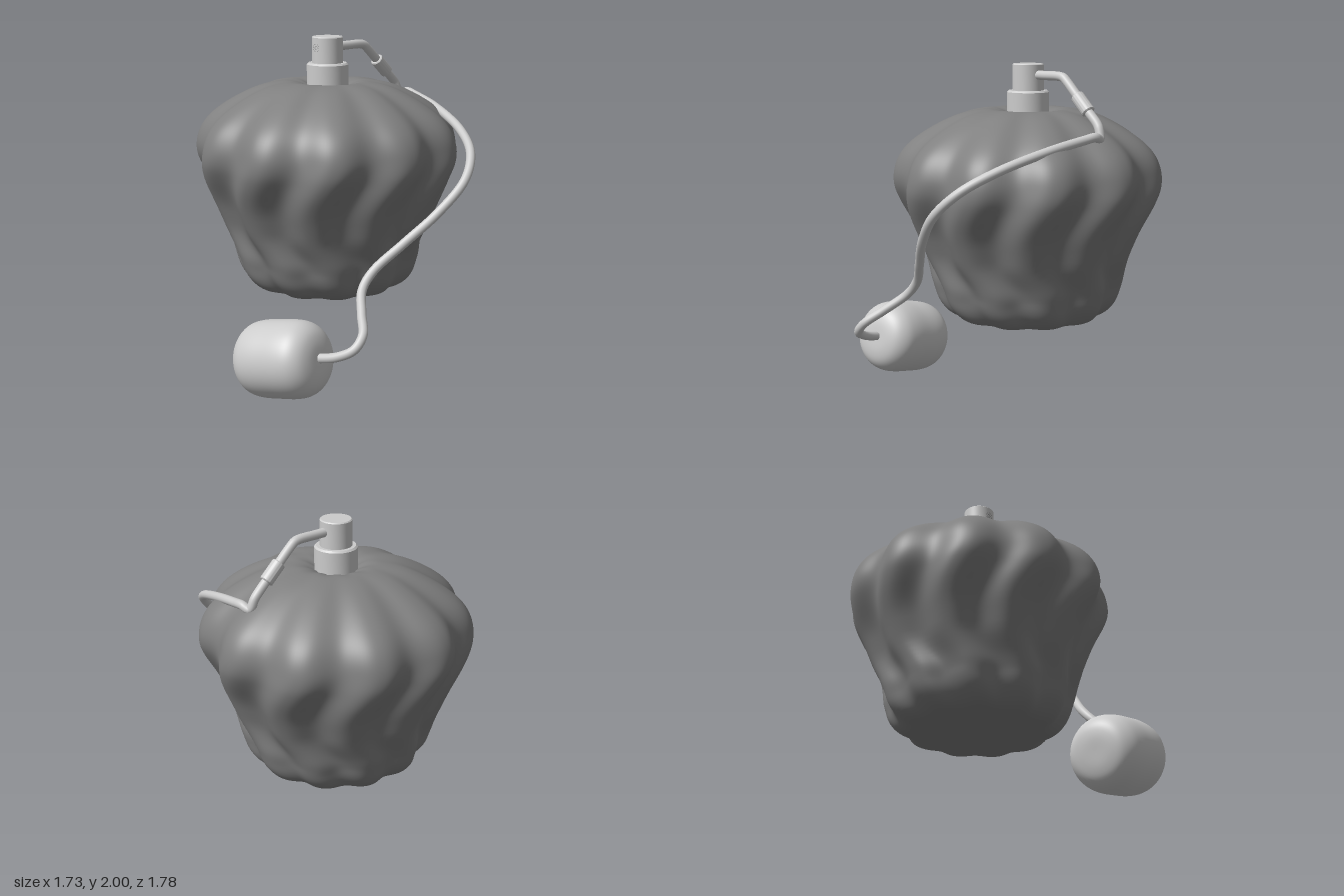
import * as THREE from 'three';
import { toCreasedNormals } from 'three/addons/utils/BufferGeometryUtils.js';

const CX = -0.065, CZ = -0.075; // bottle axis
const v2 = (p) => new THREE.Vector2(p[0], p[1]);
const v3 = (p) => new THREE.Vector3(...p);

// Fluted bottle: level rings follow the profile, grooves pull the radius in
function bottleGeometry() {
  const profile = new THREE.SplineCurve([
    [0.06, 0.485], [0.2, 0.47], [0.37, 0.465], [0.47, 0.495], [0.54, 0.57], [0.58, 0.68],
    [0.615, 0.8], [0.695, 1.0], [0.782, 1.19], [0.81, 1.31], [0.787, 1.43], [0.715, 1.53],
    [0.58, 1.625], [0.42, 1.7], [0.28, 1.73], [0.19, 1.725], [0.11, 1.69],
  ].map(v2));
  // sideways sway of the flutes: height, angle
  const swayKeys = [[0.46, 0.1], [0.65, 0.0], [0.9, -0.2], [1.0, -0.2], [1.38, 0], [1.75, 0]];
  const sway = (y) => {
    let k = 0;
    while (k < swayKeys.length - 2 && y > swayKeys[k + 1][0]) k++;
    const [y0, a] = swayKeys[k], [y1, b] = swayKeys[k + 1];
    return a + (b - a) * THREE.MathUtils.smoothstep(y, y0, y1);
  };
  const rows = 90, cols = 264, flutes = 11, position = [], index = [];
  for (let i = 0; i <= rows; i++) {
    const p = profile.getPoint(i / rows);
    for (let j = 0; j < cols; j++) {
      const a = (j / cols) * Math.PI * 2;
      const phase = flutes * (a - Math.PI - 0.035 - sway(p.y));
      const r = p.x * (1 - 0.078 * Math.pow(0.5 - 0.5 * Math.cos(phase), 1.2));
      position.push(r * Math.sin(a), p.y, r * Math.cos(a));
      if (i < rows) {
        const n = (j + 1) % cols, q = i * cols;
        index.push(q + j, q + n, q + cols + n, q + j, q + cols + n, q + cols + j);
      }
    }
  }
  const g = new THREE.BufferGeometry();
  g.setAttribute('position', new THREE.Float32BufferAttribute(position, 3));
  g.setIndex(index);
  g.computeVertexNormals();
  return g;
}

// Capped cylinder with a small bevel on its ends
function bevelled(radius, y0, y1, b = 0.006) {
  const pts = [[0, y0], [radius - b, y0], [radius, y0 + b], [radius, y1 - b], [radius - b, y1], [0, y1]];
  return toCreasedNormals(new THREE.LatheGeometry(pts.map(v2), 48), 0.6);
}

export function createModel() {
  const model = new THREE.Group();
  const grey = new THREE.MeshStandardMaterial({ color: 0xcccccc });
  const dark = new THREE.MeshStandardMaterial({ color: 0x808080 });
  const add = (name, geometry, material = grey, pos = [0, 0, 0], parent = model) => {
    const mesh = new THREE.Mesh(geometry, material);
    mesh.name = name;
    mesh.position.set(...pos);
    parent.add(mesh);
    return mesh;
  };
  const alignY = (mesh, dir) =>
    mesh.quaternion.setFromUnitVectors(new THREE.Vector3(0, 1, 0), dir.normalize());

  // Bottle
  add('bottle', bottleGeometry(), dark, [CX, 0, CZ]);
  add('bottleBasePlug', new THREE.CircleGeometry(0.062, 32).rotateX(Math.PI / 2), dark, [CX, 0.486, CZ]);

  // Neck collar and spray head
  add('collar', bevelled(0.126, 1.66, 1.842, 0.01), grey, [CX, 0, CZ]);
  add('sprayHead', bevelled(0.094, 1.82, 2.0), grey, [CX, 0, CZ]);

  // Nozzle: rings of tiny holes on the front of the head
  const nozzle = new THREE.Group();
  nozzle.name = 'nozzle';
  nozzle.position.set(CX, 1.935, CZ + 0.0945);
  model.add(nozzle);
  for (const [count, r] of [[1, 0], [6, 0.011], [12, 0.022]]) {
    for (let i = 0; i < count; i++) {
      const a = (i / count) * Math.PI * 2;
      add('nozzleHole', new THREE.CircleGeometry(0.0028, 10), dark,
        [r * Math.cos(a), r * Math.sin(a), 0], nozzle);
    }
  }

  // Hose: out of the back of the head, then down one slanted plane to the bulb
  const slope = ([x, z]) => v3([x, 1.61 - (z + 0.7) * 1.008, z]);
  const path = [
    [CX, 1.935, -0.1], [CX, 1.935, -0.22], [CX, 1.935, -0.35], [CX, 1.928, -0.38], [CX, 1.905, -0.41],
    [CX, 1.83, -0.492], [CX, 1.74, -0.59], [CX, 1.665, -0.665],
  ].map(v3).concat([
    [-0.05, -0.69], [0.0, -0.705], [0.08, -0.692], [0.3, -0.645], [0.6, -0.545], [0.77, -0.44],
    [0.838, -0.31], [0.79, -0.14], [0.685, 0.03], [0.595, 0.18], [0.6, 0.27], [0.7, 0.37],
    [0.79, 0.45], [0.79, 0.515], [0.71, 0.565], [0.58, 0.6],
  ].map(slope));
  const hose = new THREE.CatmullRomCurve3(path, false, 'centripetal');
  add('hose', new THREE.TubeGeometry(hose, 260, 0.027, 14));
  const sleeve = add('hoseSleeve', bevelled(0.04, -0.066, 0.066), grey, [CX, 1.787, -0.538]);
  alignY(sleeve, new THREE.Vector3(0, -0.09, -0.098));

  // Squeeze bulb: straight barrel with rounded ends
  const bulbProfile = new THREE.SplineCurve([
    [0, -0.26], [0.09, -0.258], [0.16, -0.238], [0.206, -0.185], [0.223, -0.11], [0.225, 0],
    [0.223, 0.11], [0.206, 0.185], [0.16, 0.238], [0.09, 0.262], [0, 0.265],
  ].map(v2)).getPoints(50);
  bulbProfile[0].x = bulbProfile[50].x = 0;
  const bulb = add('squeezeBulb', new THREE.LatheGeometry(bulbProfile, 64), grey, [0.35, 0.247, 0.65]);
  alignY(bulb, new THREE.Vector3(0.96, 0.2, -0.19));

  return model;
}
